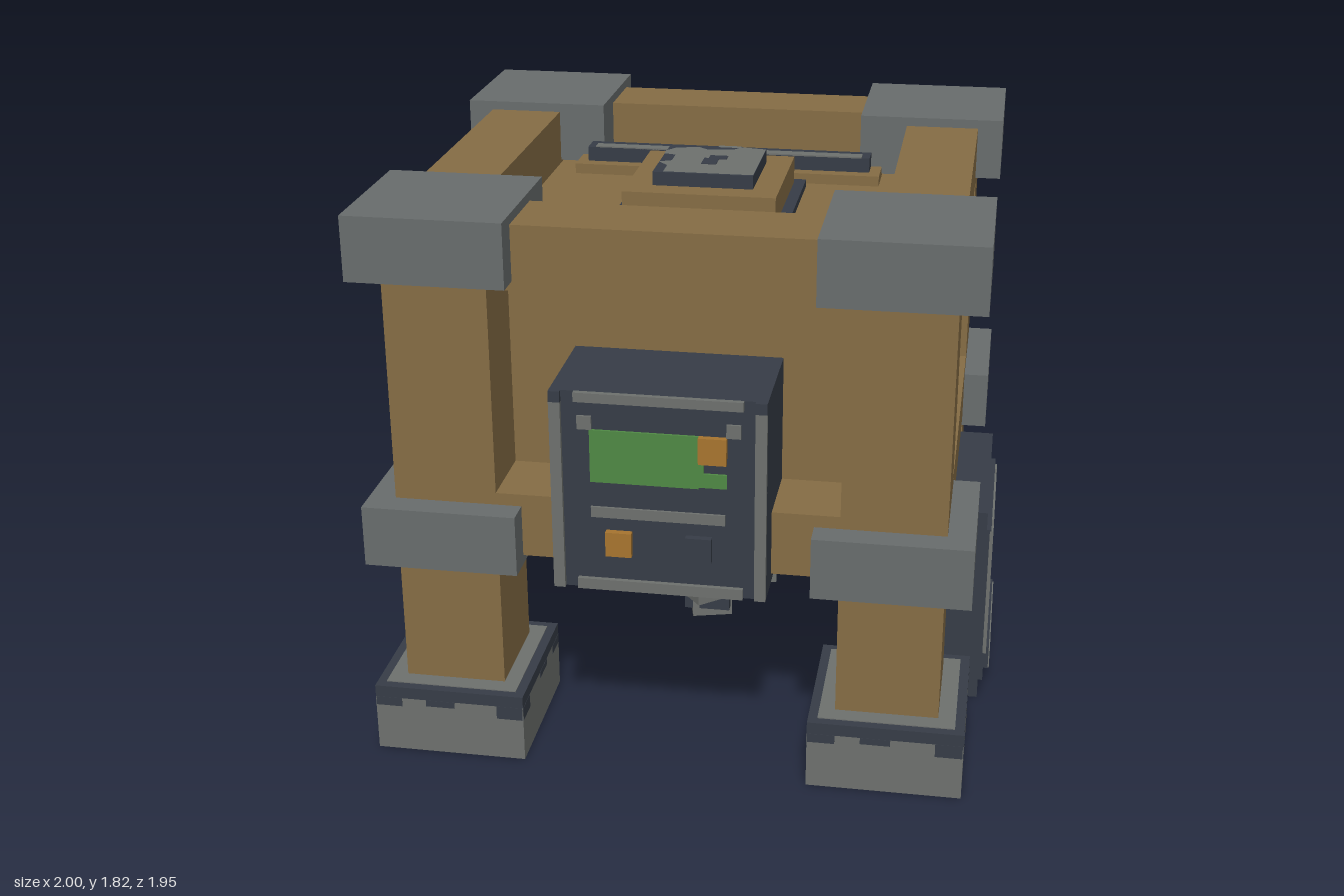
import * as THREE from 'three';

const mat = (name, color, extra = {}) => Object.assign(new THREE.MeshStandardMaterial({ color, ...extra }), { name });

export function createModel() {
  const wood = mat('wood', 0x866d45);
  const stone = mat('stone grey', 0x696d6d);
  const worn = mat('worn grey', 0x6e716e);
  const dark = mat('dark metal', 0x373d47);
  const green = mat('screen green', 0x508a45);
  const orange = mat('orange', 0xa8752f);

  const root = new THREE.Group();
  const CX = -0.0125, CZ = -0.0275; // middle of the frame

  const group = (name, parent = root) => {
    const g = new THREE.Group();
    g.name = name;
    parent.add(g);
    return g;
  };
  // box given by its two corners
  const box = (parent, name, m, x0, x1, y0, y1, z0, z1) => {
    const mesh = new THREE.Mesh(new THREE.BoxGeometry(x1 - x0, y1 - y0, z1 - z0), m);
    mesh.position.set((x0 + x1) / 2, (y0 + y1) / 2, (z0 + z1) / 2);
    mesh.name = name;
    parent.add(mesh);
    return mesh;
  };
  // box centred on (x, z) with a square footprint
  const post = (parent, name, m, x, z, half, y0, y1) =>
    box(parent, name, m, x - half, x + half, y0, y1, z - half, z + half);

  // Corner posts with caps, collars and feet
  for (const sx of [-1, 1]) for (const sz of [-1, 1]) {
    const g = group('cornerPost');
    const x = CX + sx * 0.7, z = CZ + sz * 0.7;
    const bx = CX + sx * 0.7025, bz = CZ + sz * 0.7025;
    post(g, 'leg', wood, x, z, 0.1625, 0.2, 1.7);
    post(g, 'topCap', stone, bx, bz, 0.245, 1.61, 1.815);
    post(g, 'collar', stone, bx, bz, 0.245, 0.67, 0.87);
    post(g, 'foot', worn, bx, bz, 0.245, 0, 0.19);
    post(g, 'footBand', dark, bx, bz, 0.245, 0.19, 0.23);
    post(g, 'footTop', worn, bx, bz, 0.215, 0.228, 0.233);
    // chipped edge under the band
    for (const [d, w, h] of [[-0.2, 0.045, 0.03], [-0.03, 0.05, 0.022], [0.2, 0.045, 0.045]]) {
      box(g, 'chip', dark, bx + d - w, bx + d + w, 0.19 - h, 0.19, bz - 0.246, bz + 0.246).scale.x = 0.95;
      box(g, 'chip', dark, bx - 0.246, bx + 0.246, 0.19 - h, 0.19, bz + d - w, bz + d + w).scale.z = 0.95;
    }
  }

  // Beams between the posts and the recessed body
  const frame = group('frame');
  for (const [y0, y1] of [[0.7, 0.91], [1.58, 1.785]]) for (const s of [-1, 1]) {
    const o = s * 0.74, t = 0.1225;
    box(frame, 'crossBeam', wood, CX - 0.54, CX + 0.54, y0, y1, CZ + o - t, CZ + o + t);
    box(frame, 'sideBeam', wood, CX + o - t, CX + o + t, y0, y1, CZ - 0.54, CZ + 0.54);
  }
  box(frame, 'body', wood, CX - 0.6175, CX + 0.6175, 0.73, 1.6, CZ - 0.6175, CZ + 0.6175);

  // Top fittings: ledges, rails and a stepped hatch
  const top = group('topFittings');
  for (const s of [-1, 1]) {
    const z = CZ + s * 0.415;
    box(top, 'ledge', wood, CX - 0.535, CX + 0.535, 1.59, 1.635, z - 0.085, z + 0.085);
    box(top, 'rail', dark, CX - 0.4975, CX + 0.4975, 1.635, 1.685, z - 0.04, z + 0.04);
    box(top, 'railWear', worn, CX - 0.47, CX + 0.47, 1.684, 1.689, z, z + 0.04);
    box(top, 'railWear', worn, CX - 0.04, CX + 0.04, 1.684, 1.689, z - 0.035, z);
  }
  post(top, 'hatchFrame', dark, CX, CZ - 0.005, 0.2875, 1.59, 1.625);
  post(top, 'hatch', wood, CX, CZ - 0.005, 0.25, 1.62, 1.715);
  post(top, 'hatchPlate', dark, CX, CZ - 0.005, 0.165, 1.715, 1.76);
  const patch = [[-0.13, -0.165], [0.165, -0.165], [0.165, 0.15], [0.08, 0.165], [0.06, 0.135], [-0.03, 0.12],
    [-0.06, 0.145], [-0.135, 0.13], [-0.165, 0.09], [-0.165, 0.05], [-0.125, 0.04], [-0.125, -0.03], [-0.165, -0.05], [-0.13, -0.09]];
  const hatchWear = new THREE.Mesh(new THREE.ShapeGeometry(new THREE.Shape(patch.map(p => new THREE.Vector2(...p)))), worn);
  hatchWear.rotation.x = -Math.PI / 2;
  hatchWear.position.set(CX, 1.763, CZ - 0.005);
  hatchWear.name = 'hatchWear';
  top.add(hatchWear);
  for (const [x, z, w, d] of [[-0.01, 0.02, 0.025, 0.035], [0.01, -0.03, 0.03, 0.02]])
    box(top, 'hatchSpot', dark, x - w, x + w, 1.76, 1.765, CZ + z - d, CZ + z + d);

  // Control box on the front
  const control = group('controlBox');
  box(control, 'case', dark, -0.34, 0.315, 0.67, 1.32, 0.58, 0.95);
  const F = 0.95;
  const plate = (name, m, x0, x1, y0, y1, t = 0.008) => box(control, name, m, x0, x1, y0, y1, F - 0.002, F + t);
  for (const x of [-0.34, 0.28]) {
    plate('caseEdge', worn, x, x + 0.035, 0.67, 1.285, 0.015);
    plate('caseCorner', dark, x, x + 0.035, 1.285, 1.32, 0.015);
  }
  plate('caseTopEdge', worn, -0.265, 0.245, 1.29, 1.32, 0.015);
  plate('caseBottomEdge', worn, -0.265, 0.245, 0.67, 0.705, 0.015);
  plate('screen', green, -0.22, 0.11, 1.03, 1.2);
  plate('screen', green, 0.11, 0.195, 1.035, 1.08);
  plate('screen', green, 0.108, 0.125, 1.08, 1.15);
  plate('lamp', orange, 0.11, 0.195, 1.115, 1.2, 0.02);
  for (const x of [-0.235, 0.215]) plate('bolt', worn, x - 0.022, x + 0.022, 1.2, 1.243);
  plate('slot', worn, -0.22, 0.19, 0.913, 0.947);
  plate('orangeButton', orange, -0.175, -0.095, 0.79, 0.87, 0.022);
  plate('darkButton', dark, 0.07, 0.15, 0.79, 0.87, 0.022);

  // Motor on the right-hand side
  const motor = group('sideMotor');
  const MY = 0.99, MZ = -0.0275;
  const disc = (name, m, x0, x1, h) => box(motor, name, m, x0, x1, MY - h, MY + h, MZ - h, MZ + h);
  disc('motorBase', dark, -0.72, -0.6, 0.24);
  disc('motorBand', worn, -0.75, -0.72, 0.235);
  disc('motorBack', dark, -0.79, -0.75, 0.24);
  disc('motorBody', orange, -0.915, -0.79, 0.2625);
  disc('motorPlate', dark, -0.96, -0.915, 0.1675);
  disc('motorPlateWear', worn, -0.964, -0.958, 0.105);
  disc('motorHub', dark, -0.995, -0.96, 0.082);
  disc('motorHubFace', worn, -1, -0.994, 0.06);

  // Chute on the left-hand side, with an open mouth
  const chute = group('chute');
  const ring = (name, m, x0, x1, [z0, z1, y0, y1], [a0, a1, b0, b1]) => {
    box(chute, name, m, x0, x1, y0, b0, z0, z1);
    box(chute, name, m, x0, x1, b1, y1, z0, z1);
    box(chute, name, m, x0, x1, b0, b1, z0, a0);
    box(chute, name, m, x0, x1, b0, b1, a1, z1);
  };
  const mouth = [-0.23, 0.18, 0.145, 0.545];
  box(chute, 'chuteBack', dark, 0.53, 0.76, 0, 0.7, -0.355, 0.305);
  ring('chuteWall', dark, 0.76, 0.965, [-0.355, 0.305, 0, 0.7], mouth);
  ring('mouthFrame', dark, 0.965, 0.98, [-0.315, 0.265, 0.045, 0.62], mouth);
  for (const z of [-0.28, 0.22]) box(chute, 'mouthSideTrim', worn, 0.975, 0.987, 0.15, 0.615, z, z + 0.045);
  box(chute, 'mouthTopTrim', worn, 0.975, 0.987, 0.57, 0.617, -0.19, 0.18);
  box(chute, 'mouthLip', dark, 0.975, 0.996, 0.07, 0.15, -0.28, 0.225);
  box(chute, 'mouthLipFace', worn, 0.994, 1, 0.07, 0.145, -0.27, 0.22);

  // Underside plate and tapering drill
  const drill = group('drill');
  post(drill, 'underPlate', worn, CX, CZ, 0.525, 0.65, 0.735);
  post(drill, 'underPlateCore', dark, CX, CZ, 0.44, 0.645, 0.652);
  post(drill, 'shaft', dark, CX, CZ, 0.08, 0.12, 0.65);
  const steps = [[0.5825, 0.42, 5], [0.49, 0.275, 12], [0.4, 0.298, 78], [0.305, 0.255, 20], [0.215, 0.172, 40], [0.1225, 0.086, 15]];
  for (const [y, reach, deg] of steps) {
    const a = THREE.MathUtils.degToRad(deg);
    const half = reach / (Math.cos(a) + Math.sin(a));
    post(drill, 'drillStep', worn, CX, CZ, half, y - 0.033, y + 0.033).rotation.y = a;
  }
  return root;
}
